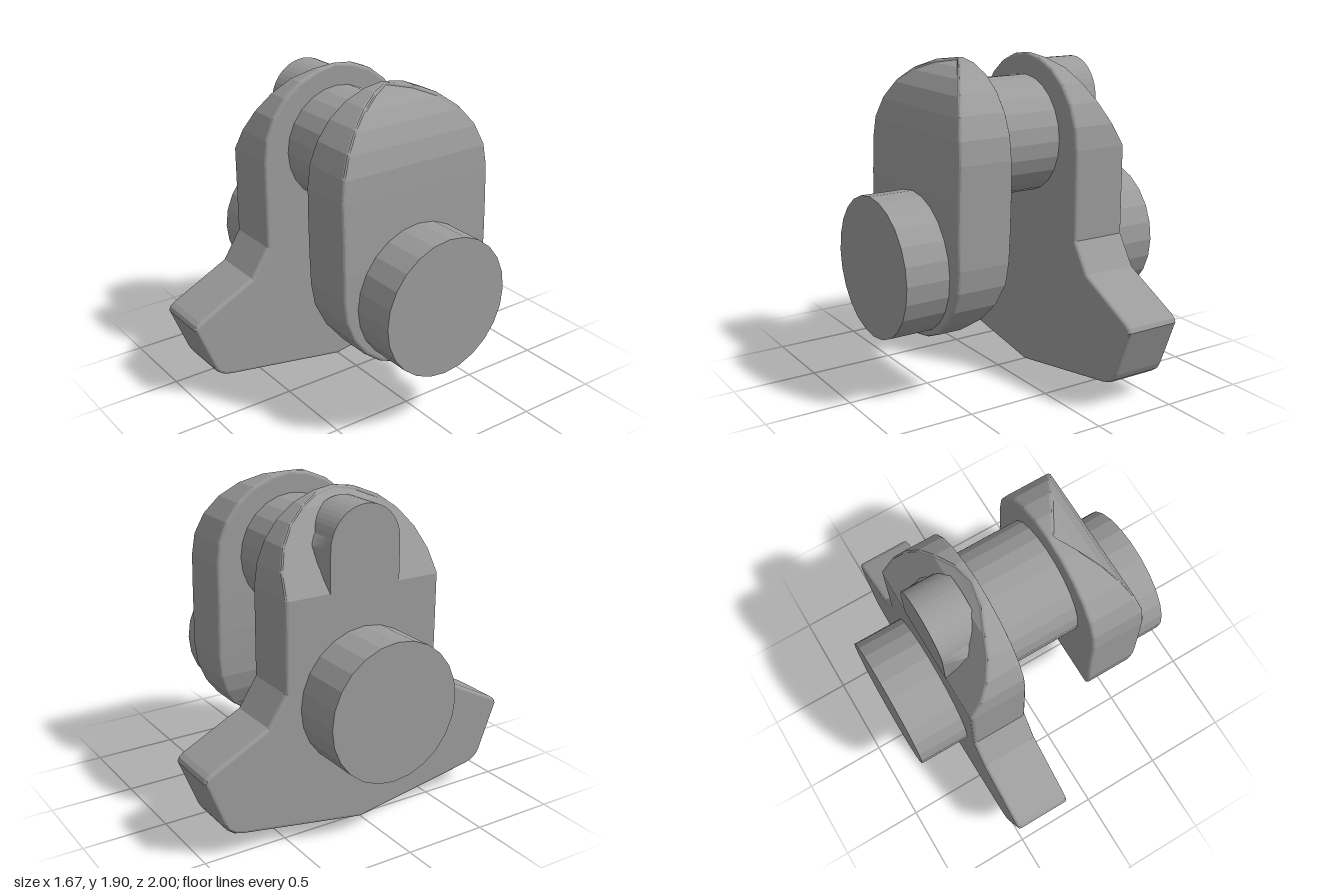
import * as THREE from 'three';

const material = new THREE.MeshStandardMaterial({ color: 0x9c9c9c, flatShading: true });
const R = 0.5, TOP = 1.405, BASE = 0.835; // rounded web ends: radius and centre heights

function add(group, name, geometry) {
  const mesh = new THREE.Mesh(geometry, material);
  mesh.name = name;
  group.add(mesh);
}

// Cylinder along x
function journal(x0, x1, y, r) {
  const g = new THREE.CylinderGeometry(r, r, x1 - x0, 24);
  g.rotateZ(Math.PI / 2);
  g.translate((x0 + x1) / 2, y, 0);
  return g;
}

// Points [y, halfWidth] round a quarter arch, from its side to its tip
function arch(centre, dir) {
  const pts = [];
  for (let i = 0; i <= 6; i++) {
    const a = (Math.PI / 2) * (i / 6);
    pts.push([centre + dir * R * Math.sin(a), Math.max(R * Math.cos(a), 0.006)]);
  }
  return pts;
}

// Outward direction [z, y] of the outline at section i
function outward(sections, i) {
  const n = new THREE.Vector2();
  for (const k of [i - 1, i]) {
    if (k < 0 || k + 1 >= sections.length) continue;
    const [a, b] = [sections[k], sections[k + 1]];
    n.add(new THREE.Vector2(b[0] - a[0], a[1] - b[1]).normalize());
  }
  return n.normalize();
}

// Stack of sections [y, halfWidth, x0, x1] with the rims rounded over
function loft(sections) {
  const pos = [], index = [], steps = 3, n = 4 * (steps + 1);
  sections.forEach(([y, w, x0, x1], i) => {
    const b = Math.min(0.02, (x1 - x0) / 3);
    const normal = outward(sections, i);
    const half = [];
    for (let j = 0; j < 2 * (steps + 1); j++) {
      const atX1 = j > steps;
      const a = (Math.PI / 2) * ((atX1 ? j - steps - 1 : steps - j) / steps);
      const inset = b * (1 - Math.cos(a)), side = b * (1 - Math.sin(a));
      half.push([atX1 ? x1 - side : x0 + side, y - inset * normal.y,
        Math.max(w - inset * normal.x, 0.003)]);
    }
    for (const [x, py, z] of half) pos.push(x, py, z);
    for (const [x, py, z] of half.reverse()) pos.push(x, py, -z);
  });
  const last = (sections.length - 1) * n;
  for (let i = 0; i < last; i += n) {
    for (let j = 0; j < n; j++) {
      const k = (j + 1) % n;
      index.push(i + j, i + k, i + n + k, i + j, i + n + k, i + n + j);
    }
  }
  // Close both ends with strips between mirrored points
  for (let j = 0; j < n / 2 - 1; j++) {
    const m = n - 1 - j;
    index.push(j, m, j + 1, j + 1, m, m - 1);
    index.push(last + j, last + j + 1, last + m, last + j + 1, last + m - 1, last + m);
  }
  const g = new THREE.BufferGeometry();
  g.setAttribute('position', new THREE.Float32BufferAttribute(pos, 3));
  g.setIndex(index);
  g.computeVertexNormals();
  return g;
}

export function createModel() {
  const group = new THREE.Group();

  // Main journals and crank pin
  add(group, 'rightMainJournal', journal(-0.838, -0.5, 0.775, 0.408));
  add(group, 'leftMainJournal', journal(0.5, 0.835, 0.775, 0.408));
  add(group, 'crankPin', journal(-0.22, 0.26, 1.437, 0.342));

  // Web with counterweight, its top cut by a slope on the outer side
  const weight = [[0.003, 0.01], [0.13, 0.78], [0.145, 0.83], [0.175, 0.87], [0.21, 0.89],
    [0.465, 0.99], [0.49, 1], [0.515, 0.99], [0.535, 0.965], [0.715, 0.61], [0.885, 0.5]];
  const slope = (y) => -0.532 + Math.max(0, y - TOP) * 0.53 + Math.max(0, y - 1.86) * 0.9;
  add(group, 'counterweightWeb', loft([...weight, ...arch(TOP, 1)]
    .map(([y, w]) => [y, w, slope(y), -0.19])));

  // Arched boss on the slope, flaring at its lower sides towards the web
  const shape = new THREE.Shape();
  shape.moveTo(-0.225, 1.4);
  shape.lineTo(0.225, 1.4);
  shape.lineTo(0.225, 1.64);
  shape.absarc(0, 1.64, 0.225, 0, Math.PI, false);
  shape.closePath();
  const boss = new THREE.ExtrudeGeometry(shape, { depth: 0.25, steps: 4, bevelEnabled: false, curveSegments: 12 });
  const p = boss.attributes.position;
  for (let i = 0; i < p.count; i++) {
    const flare = p.getZ(i) * THREE.MathUtils.clamp((1.7 - p.getY(i)) / 0.1, 0, 1);
    p.setX(i, p.getX(i) * (1 + 1.8 * flare));
  }
  boss.rotateY(Math.PI / 2);
  boss.translate(-0.534, 0, 0);
  boss.computeVertexNormals();
  add(group, 'webBoss', boss);

  // Plain web: curved relief on the outer top and on the inner bottom
  const lower = arch(BASE, -1).reverse()
    .map(([y, w]) => [y, w, 0.54 - 0.295 * w / R, 0.574]);
  const middle = [[1.0, R, 0.236, 0.574], [1.2, R, 0.23, 0.57]];
  const upper = arch(TOP, 1).map(([y, w]) => [y, w, 0.23, 0.27 + 0.292 * w / R]);
  add(group, 'plainWeb', loft([...lower, ...middle, ...upper]));

  return group;
}
